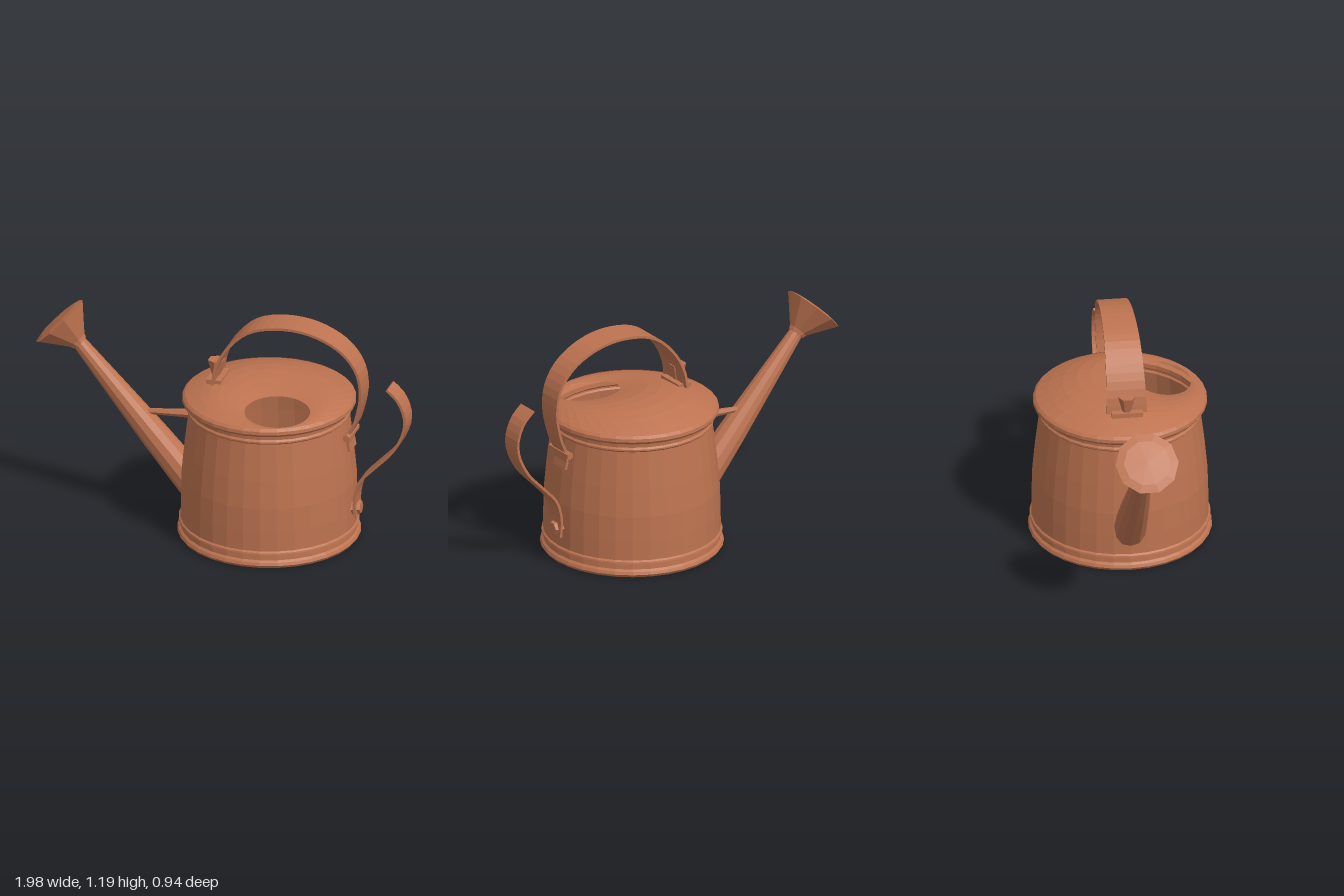
import * as THREE from 'three';

const CX = 0.245; // body axis
const V = (x, y, z = 0) => new THREE.Vector3(x, y, z);

export function createModel() {
  const group = new THREE.Group();
  const copper = new THREE.MeshStandardMaterial({ color: 0xbd7350, side: THREE.DoubleSide });
  copper.flatShading = true;

  const add = (name, geometry, x = 0, y = 0, z = 0) => {
    const mesh = new THREE.Mesh(geometry, copper);
    mesh.name = name;
    mesh.position.set(x, y, z);
    group.add(mesh);
    return mesh;
  };
  const lathe = (pairs, segments) =>
    new THREE.LatheGeometry(pairs.map(([r, y]) => new THREE.Vector2(r, y)), segments);
  const build = (positions, index) => {
    const g = new THREE.BufferGeometry();
    g.setAttribute('position', new THREE.Float32BufferAttribute(positions, 3));
    g.setIndex(index);
    g.computeVertexNormals();
    return g;
  };
  // turn a geometry's +y axis from point a towards point b
  const aim = (mesh, a, b) => {
    mesh.position.copy(a);
    mesh.quaternion.setFromUnitVectors(V(0, 1), b.clone().sub(a).normalize());
    return mesh;
  };

  // flat metal strap following a curve in the x-y plane, half width w0 to w1
  const strap = (pairs, w0, w1, steps, thick = 0.014) => {
    const curve = new THREE.CatmullRomCurve3(pairs.map(([x, y]) => V(x, y)));
    const pos = [], idx = [];
    for (let i = 0; i <= steps; i++) {
      const u = i / steps, p = curve.getPointAt(u), t = curve.getTangentAt(u);
      const w = w0 + (w1 - w0) * u, h = thick / 2;
      for (const [n, s] of [[1, -1], [1, 1], [-1, 1], [-1, -1]])
        pos.push(p.x - t.y * n * h, p.y + t.x * n * h, s * w);
      if (i === steps) break;
      for (let k = 0; k < 4; k++) {
        const a = i * 4 + k, b = i * 4 + (k + 1) % 4;
        idx.push(a, b, b + 4, a, b + 4, a + 4);
      }
    }
    const e = steps * 4;
    idx.push(0, 2, 1, 0, 3, 2, e, e + 1, e + 2, e, e + 2, e + 3);
    return build(pos, idx);
  };

  // body with foot band, bead and rim
  add('body', lathe([
    [0, 0.005], [0.462, 0.005], [0.472, 0.02], [0.466, 0.035], [0.455, 0.045], [0.453, 0.075],
    [0.465, 0.08], [0.463, 0.088], [0.455, 0.095], [0.454, 0.2], [0.45, 0.33], [0.436, 0.48],
    [0.412, 0.68], [0.42, 0.688], [0.42, 0.696], [0.412, 0.705], [0.414, 0.728],
    [0.438, 0.735], [0.447, 0.748], [0.445, 0.765], [0.432, 0.778],
  ], 32), CX);

  // domed lid lofted from the rim to an off-centre filling hole
  const RINGS = 7, SEG = 36, holeDir = Math.atan2(0.23, 0.115);
  const lidPos = [], lidIdx = [];
  for (let i = 0; i <= RINGS; i++) {
    const t = i / RINGS;
    for (let j = 0; j < SEG; j++) {
      const a = (j / SEG) * Math.PI * 2, c = Math.cos(a), s = Math.sin(a);
      const far = 0.5 - 0.5 * Math.cos(a - holeDir);
      const y = 0.772 + (0.018 - 0.018 * s) * t + Math.sin(Math.PI * t) * 0.062 * far;
      lidPos.push(
        THREE.MathUtils.lerp(CX + 0.438 * c, 0.36 + 0.17 * c, t), y,
        THREE.MathUtils.lerp(0.438 * s, 0.23 + 0.15 * s, t));
      if (i === RINGS) continue;
      const p = i * SEG + j, q = i * SEG + (j + 1) % SEG;
      lidIdx.push(p, q + SEG, q, p, p + SEG, q + SEG);
    }
  }
  add('lid', build(lidPos, lidIdx));

  // carrying handle over the top and its fixings
  add('topHandle', strap([
    [-0.03, 0.83], [-0.015, 0.92], [0.04, 1.03], [0.16, 1.145], [0.33, 1.187], [0.5, 1.17],
    [0.65, 1.095], [0.73, 0.99], [0.752, 0.86], [0.72, 0.7], [0.68, 0.6], [0.69, 0.53],
  ], 0.105, 0.052, 36));
  add('topHandleClamp', new THREE.CylinderGeometry(0.045, 0.022, 0.09, 6), -0.038, 0.885);
  add('topHandleFoot', new THREE.BoxGeometry(0.08, 0.025, 0.16), -0.03, 0.835);
  const bar = add('topHandleBar', new THREE.CylinderGeometry(0.02, 0.02, 0.17, 6), 0.685, 0.617);
  bar.rotation.x = Math.PI / 2;

  // tipping handle at the back and its fixing
  add('rearHandle', strap([
    [0.72, 0.16], [0.715, 0.26], [0.745, 0.365], [0.82, 0.45], [0.925, 0.565], [0.98, 0.68],
    [0.985, 0.76], [0.95, 0.85], [0.89, 0.908],
  ], 0.052, 0.056, 24));
  const rivet = add('rearHandleRivet', new THREE.CylinderGeometry(0.032, 0.045, 0.045, 6), 0.717, 0.2);
  rivet.rotation.z = -Math.PI / 2;

  // tapering spout
  const foot = V(-0.15, 0.205), neck = V(-0.775, 0.925);
  const length = foot.distanceTo(neck);
  aim(add('spout', lathe([[0.088, 0], [0.075, length * 0.35], [0.055, length * 0.7], [0.037, length]], 12)),
    foot, neck);

  // sprinkling rose with a slightly domed face
  aim(add('rose', lathe([
    [0, -0.012], [0.045, -0.01], [0.052, 0.01], [0.105, 0.075], [0.163, 0.145],
    [0.12, 0.156], [0, 0.164],
  ], 10)), V(-0.778, 0.925), V(-0.883, 1.03));

  // strut between spout and body
  const s0 = V(-0.43, 0.583), s1 = V(-0.15, 0.605), strutLen = s0.distanceTo(s1);
  aim(add('spoutStrut', lathe([[0, 0], [0.014, 0], [0.024, strutLen], [0, strutLen]], 6)), s0, s1);

  return group;
}
